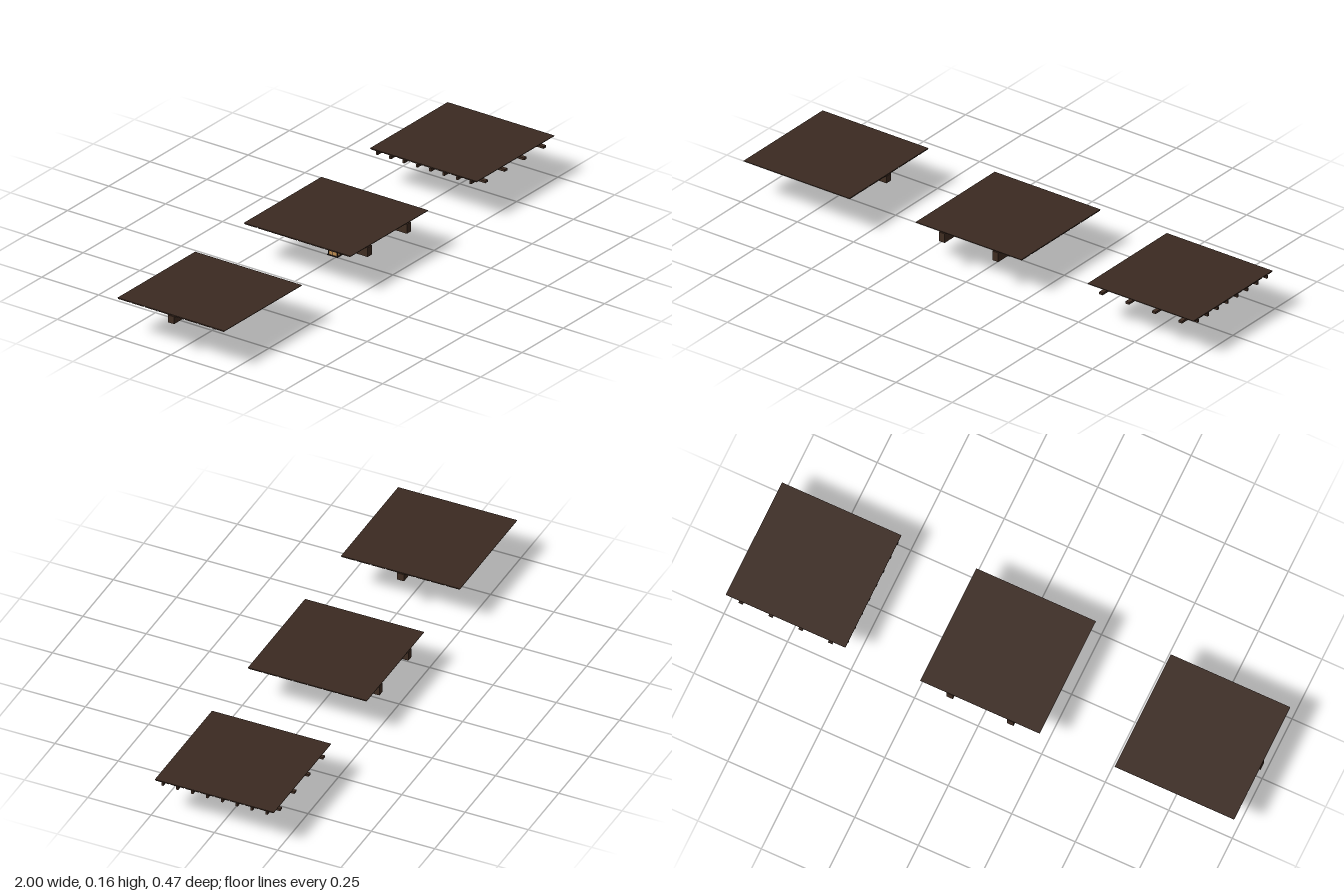
import * as THREE from 'three';

const material = (name, color, flatShading = false) => {
  const m = new THREE.MeshStandardMaterial({ color, flatShading });
  m.name = name;
  return m;
};

export function createModel() {
  const boardWood = material('board wood', 0x3b2a21);
  const beamWood = material('beam wood', 0x402d22);
  const iron = material('dark iron', 0x2a211c, true);
  const glass = material('amber glass', 0xbd8c50);

  const model = new THREE.Group();
  model.name = 'ceilingPanels';
  const HALF = 0.235, SIZE = HALF * 2, PITCH = SIZE / 8;

  const add = (parent, name, geometry, mat, x = 0, y = 0, z = 0) => {
    const mesh = new THREE.Mesh(geometry, mat);
    mesh.name = name;
    mesh.position.set(x, y, z);
    parent.add(mesh);
    return mesh;
  };
  // Box given by its bottom and top heights
  const slab = (parent, name, mat, w, d, y0, y1, x = 0, z = 0) =>
    add(parent, name, new THREE.BoxGeometry(w, y1 - y0, d), mat, x, (y0 + y1) / 2, z);

  // Square panel: thin sheet with boards along x beneath
  const panel = (name, x) => {
    const g = new THREE.Group();
    g.name = name;
    g.position.x = x;
    model.add(g);
    slab(g, 'sheet', boardWood, SIZE, SIZE, 0.1578, 0.16);
    for (let i = 0; i < 8; i++)
      slab(g, 'board', boardWood, SIZE, PITCH - 0.006, 0.1556, 0.1578, 0, -HALF + PITCH * (i + 0.5));
    return g;
  };

  // Panel with a single beam
  const single = panel('singleBeamPanel', -1 + HALF);
  slab(single, 'beam', beamWood, SIZE, 0.028, 0.125, 0.1537);

  // Panel with two beams, a crossbar and a lantern
  const middle = panel('lanternPanel', 0);
  for (const s of [-1, 1]) slab(middle, 'sideBeam', beamWood, 0.026, SIZE, 0.117, 0.1537, s * 0.119);
  slab(middle, 'crossbar', beamWood, 0.212, 0.016, 0.138, 0.1535);

  // Panel with crossed joists
  const lattice = panel('latticePanel', 1 - HALF);
  for (let i = 0; i < 8; i++)
    slab(lattice, 'joist', beamWood, SIZE, 0.008, 0.1415, 0.1537, 0, -HALF + PITCH * (i + 0.5));
  for (let i = 0; i < 4; i++)
    slab(lattice, 'lowerBeam', beamWood, 0.016, SIZE, 0.133, 0.1417, -HALF + PITCH * (2 * i + 1));

  // Lantern
  const lantern = new THREE.Group();
  lantern.name = 'lantern';
  middle.add(lantern);
  const R = 0.0205, Y0 = 0.014, Y1 = 0.078;
  add(lantern, 'ceilingMount', new THREE.CylinderGeometry(0.008, 0.004, 0.007, 8), iron, 0, 0.1345, 0);
  add(lantern, 'rod', new THREE.CylinderGeometry(0.0015, 0.0015, 0.042, 8), iron, 0, 0.118, 0);
  const roof = add(lantern, 'roof', new THREE.CylinderGeometry(0.003, 0.029 * Math.SQRT2, 0.021, 4), beamWood, 0, 0.0885, 0);
  roof.geometry = roof.geometry.toNonIndexed();
  roof.geometry.computeVertexNormals();
  roof.rotation.y = Math.PI / 4;
  slab(lantern, 'glassBody', glass, 0.038, 0.038, Y0, Y1);
  slab(lantern, 'basePlate', iron, 0.045, 0.045, 0.0115, 0.0145);
  slab(lantern, 'topFrame', iron, 0.043, 0.043, 0.0755, 0.079);
  for (const x of [-1, 1])
    for (const z of [-1, 1])
      slab(lantern, 'cornerPost', iron, 0.003, 0.003, Y0, Y1, x * (R - 0.001), z * (R - 0.001));
  // Glazing bars on each of the four faces
  for (let f = 0; f < 4; f++) {
    const face = new THREE.Group();
    face.name = 'glazingBars';
    face.rotation.y = f * Math.PI / 2;
    lantern.add(face);
    slab(face, 'uprightBar', iron, 0.0026, 0.002, Y0, Y1, 0, 0.0195);
    for (const y of [0.036, 0.0575]) slab(face, 'crossBar', iron, 0.039, 0.002, y - 0.001, y + 0.001, 0, 0.0193);
  }
  const finial = add(lantern, 'finial', new THREE.ConeGeometry(0.005, 0.0118, 8), iron, 0, 0.0059, 0);
  finial.rotation.x = Math.PI;

  return model;
}
